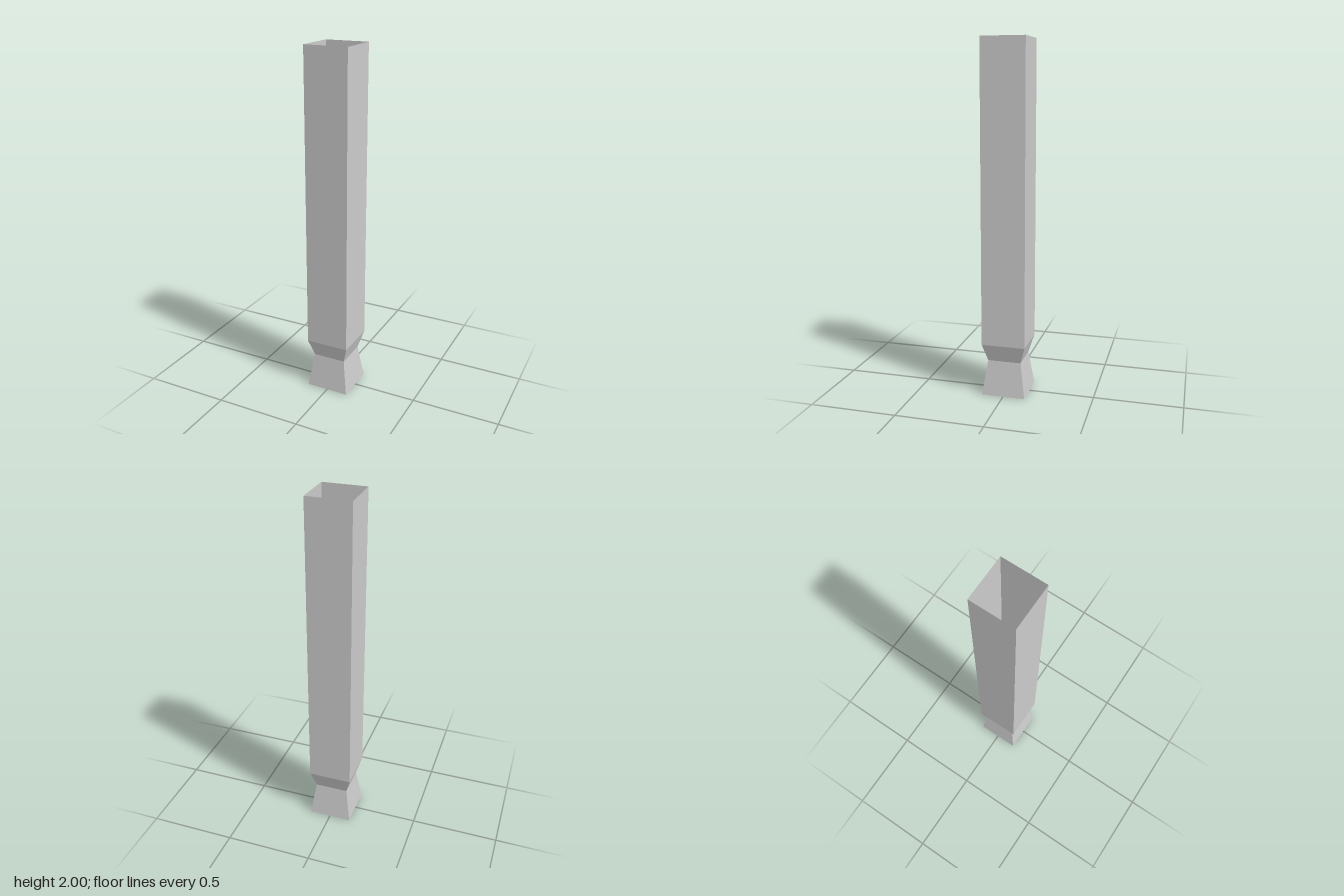
import * as THREE from 'three';

// Open square tube section; half-widths are measured to the flat sides
function squareTube(name, y0, y1, half0, half1, material) {
  const r = Math.SQRT2;
  const geometry = new THREE.CylinderGeometry(half1 * r, half0 * r, y1 - y0, 4, 1, true);
  geometry.rotateY(Math.PI / 4);
  geometry.translate(0, (y0 + y1) / 2, 0);
  const mesh = new THREE.Mesh(geometry, material);
  mesh.name = name;
  return mesh;
}

export function createModel() {
  const group = new THREE.Group();
  group.name = 'squarePost';
  const material = new THREE.MeshStandardMaterial({
    color: 0xcccccc, flatShading: true, side: THREE.DoubleSide,
  });

  const wide = 0.125, waist = 0.095;
  group.add(
    squareTube('flaredFoot', 0, 0.2, wide, waist, material),
    squareTube('neck', 0.2, 0.3, waist, wide, material),
    squareTube('shaft', 0.3, 2, wide, wide, material),
  );
  return group;
}
